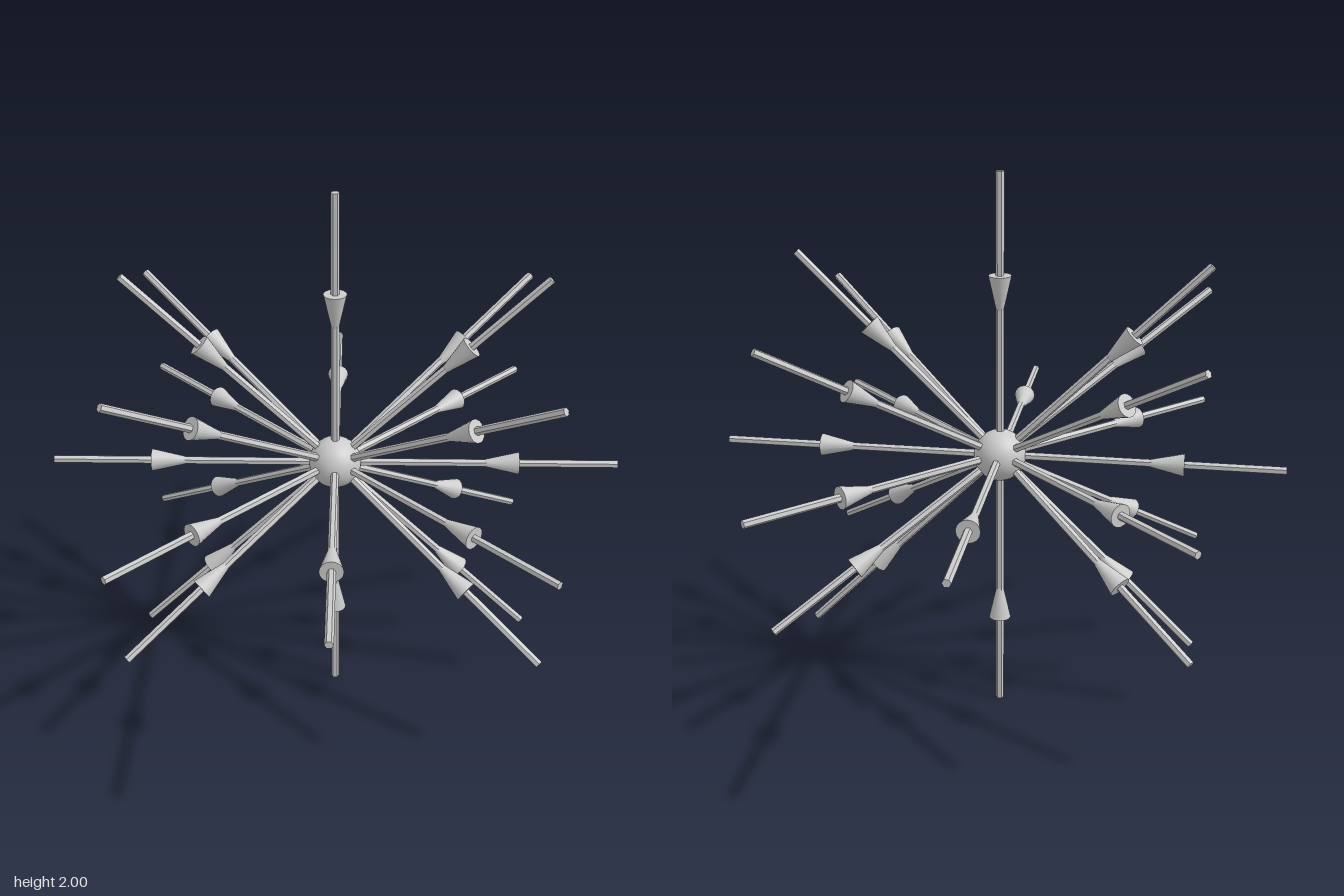
import * as THREE from 'three';

export function createModel() {
  const model = new THREE.Group();
  const material = new THREE.MeshStandardMaterial({ color: 0xcccccc });
  const flat = new THREE.MeshStandardMaterial({ color: 0xcccccc, flatShading: true });

  // Central ball
  const ball = new THREE.Mesh(new THREE.SphereGeometry(0.093, 24, 16), material);
  ball.name = 'centreBall';
  ball.position.y = 1;
  model.add(ball);

  // Six-sided rod reaching out along +y, with an arrowhead pointing inward
  const rodGeometry = new THREE.CylinderGeometry(0.0145, 0.0145, 0.96, 6)
    .rotateY(Math.PI / 6).translate(0, 0.52, 0);
  const headGeometry = new THREE.CylinderGeometry(0.04, 0.002, 0.17, 16).translate(0, 0.565, 0);

  // Directions: a pole pair, plus eight around each of the tilted great circles through the x axis
  const s = Math.SQRT1_2;
  const directions = [[1, 0, 0], [-1, 0, 0]];
  for (let i = 0; i < 8; i++) {
    const a = i * Math.PI / 4;
    const y = Math.cos(a), z = Math.sin(a);
    if (i % 2 === 0) directions.push([0, y, z]);
    for (const side of [-1, 1]) directions.push([side * s, y * s, z * s]);
  }

  const up = new THREE.Vector3(0, 1, 0);
  for (const d of directions) {
    const arrow = new THREE.Group();
    arrow.name = 'inwardArrow';
    const rod = new THREE.Mesh(rodGeometry, flat);
    rod.name = 'rod';
    const head = new THREE.Mesh(headGeometry, material);
    head.name = 'arrowHead';
    arrow.add(rod, head);
    arrow.position.y = 1;
    arrow.quaternion.setFromUnitVectors(up, new THREE.Vector3(...d).normalize());
    model.add(arrow);
  }
  return model;
}
